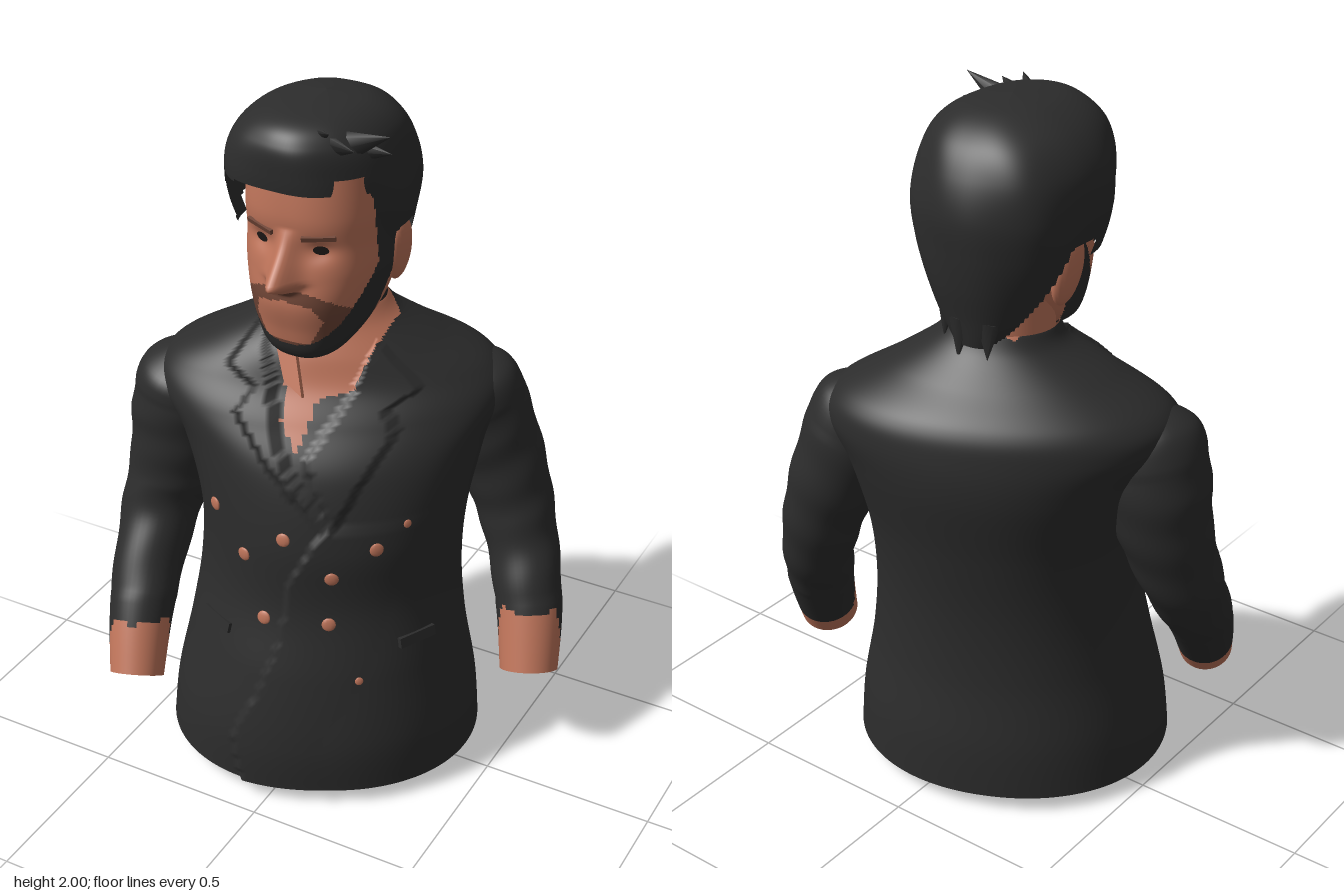
import * as THREE from 'three';

const mat = (name, color, side = THREE.DoubleSide) => {
  const m = new THREE.MeshStandardMaterial({ color, side });
  m.name = name;
  return m;
};

// Catmull-Rom blend of key rows, v in 0..1
function blend(rows, v) {
  const s = Math.min(v * (rows.length - 1), rows.length - 1.0001);
  const i = Math.floor(s), t = s - i;
  const r = (k) => rows[Math.max(0, Math.min(rows.length - 1, k))];
  return rows[0].map((_, c) => {
    const [a, b, d, e] = [r(i - 1)[c], r(i)[c], r(i + 1)[c], r(i + 2)[c]];
    return b + 0.5 * t * (d - a + t * (2 * a - 5 * b + 4 * d - e + t * (3 * (b - d) + e - a)));
  });
}

// Closed-loop surface; pick(x, y, z, v) returns a material index, or -1 to leave a hole
function loft(name, point, nu, nv, mats, pick) {
  const pos = [], sets = mats.map(() => []);
  for (let j = 0; j <= nv; j++)
    for (let i = 0; i < nu; i++) pos.push(...point((i / nu) * Math.PI * 2, j / nv));
  for (let j = 0; j < nv; j++)
    for (let i = 0; i < nu; i++) {
      const k = (i + 1) % nu, a = j * nu + i, b = j * nu + k, c = b + nu, d = a + nu;
      const mid = [0, 1, 2].map((n) => (pos[a * 3 + n] + pos[b * 3 + n] + pos[c * 3 + n] + pos[d * 3 + n]) / 4);
      const m = pick(...mid, (j + 0.5) / nv);
      if (m >= 0) sets[m].push(a, b, c, a, c, d);
    }
  const g = new THREE.BufferGeometry();
  g.setAttribute('position', new THREE.Float32BufferAttribute(pos, 3));
  g.setIndex(sets.flat());
  let start = 0;
  sets.forEach((s, m) => { g.addGroup(start, s.length, m); start += s.length; });
  g.computeVertexNormals();
  const mesh = new THREE.Mesh(g, mats);
  mesh.name = name;
  return mesh;
}

// Point on a rounded section: row = [y, centreX, centreZ, halfWidth, front, back]
function section(row, u, n, turn = 0) {
  const p = (k) => Math.sign(k) * Math.abs(k) ** (2 / n);
  const s = p(Math.sin(u)), c = p(Math.cos(u));
  const lx = row[3] * s, lz = (c > 0 ? row[4] : row[5]) * c;
  const C = Math.cos(turn), S = Math.sin(turn);
  return [row[1] + lx * C + lz * S, row[0], row[2] - lx * S + lz * C];
}

function inside(poly, x, y) {
  let hit = false;
  poly.forEach(([ax, ay], i) => {
    const [bx, by] = poly[(i + 1) % poly.length];
    if (ay > y !== by > y && x < ((bx - ax) * (y - ay)) / (by - ay) + ax) hit = !hit;
  });
  return hit;
}

// Seat a small part on the front of a surface at (x, y)
function seat(part, surface, x, y, lift = 0) {
  const p = surface.geometry.attributes.position, n = surface.geometry.attributes.normal;
  let best = 0, err = 9;
  for (let i = 0; i < p.count; i++) {
    const e = Math.hypot(p.getX(i) - x, p.getY(i) - y);
    if (n.getZ(i) > 0.05 && p.getZ(i) > 0 && e < err) { err = e; best = i; }
  }
  const normal = new THREE.Vector3().fromBufferAttribute(n, best);
  part.position.set(x, y, p.getZ(best)).addScaledVector(normal, lift);
  part.lookAt(part.position.clone().add(normal));
}

export function createModel() {
  const group = new THREE.Group();
  const dark = mat('charcoal', 0x2c2c2c), skin = mat('skin', 0xbe745a);
  const brown = mat('stubble', 0x6f4536), black = mat('eyeBlack', 0x1c1816);
  const add = (name, geo, m, x = 0, y = 0, z = 0) => {
    const mesh = new THREE.Mesh(geo, m);
    mesh.name = name;
    mesh.position.set(x, y, z);
    group.add(mesh);
    return mesh;
  };

  // Jacket body, hollow below, turned towards the model's left, with raised lapels and overlap
  const turn = 0.436;
  const body = [
    [0.05, -0.03, 0.015, 0.455, 0.4, 0.41], [0.2, -0.03, 0.01, 0.44, 0.405, 0.4],
    [0.4, -0.03, 0, 0.4, 0.375, 0.365], [0.6, -0.03, -0.02, 0.375, 0.34, 0.345],
    [0.8, -0.03, -0.04, 0.38, 0.35, 0.35], [1.0, -0.05, -0.08, 0.43, 0.345, 0.34],
    [1.12, -0.07, -0.1, 0.485, 0.29, 0.31], [1.2, -0.08, -0.11, 0.45, 0.24, 0.27],
    [1.28, -0.075, -0.1, 0.31, 0.195, 0.2], [1.35, -0.06, -0.09, 0.19, 0.145, 0.15],
    [1.4, -0.06, -0.08, 0.15, 0.12, 0.13]];
  const opening = [[-0.18, 1.42], [-0.09, 1.23], [-0.065, 1.13], [0, 1.06], [0.01, 1.18], [0.09, 1.2], [0.11, 1.28], [0.14, 1.42]];
  const lapels = [
    [[-0.19, 1.38], [-0.25, 1.24], [-0.16, 1.2], [-0.19, 1.14], [0.12, 0.86], [-0.07, 1.1]],
    [[0.11, 1.32], [0.24, 1.2], [0.18, 1.16], [0.22, 1.11], [0.13, 0.87], [0.03, 1.05], [0.09, 1.2]]];
  const edge = [[0.9, 0.12], [0.7, 0.02], [0.5, 0], [0.35, -0.04], [0.2, -0.11], [0, -0.07]];
  const edgeX = (y) => {
    const i = Math.max(1, edge.findIndex((e) => e[0] <= y)), [a, b] = [edge[i - 1], edge[i]];
    return a[1] + ((b[1] - a[1]) * (a[0] - y)) / (a[0] - b[0]);
  };
  const torso = loft('jacketBody', (u, v) => {
    const p = section(blend(body, v), u, 2.1, turn);
    if (p[2] > -0.1 && Math.cos(u) > -0.2) {
      if (lapels.some((l) => inside(l, p[0], p[1]))) p[2] += 0.016;
      const d = p[0] - edgeX(p[1]);
      if (p[1] < 0.88 && d > 0) p[2] += 0.014 * Math.max(0, 1 - d / 0.25);
    }
    return p;
  }, 200, 130, [dark, skin], (x, y, z) => (z > -0.02 - (y - 1.25) * 1.1 && inside(opening, x, y) ? 1 : 0));
  group.add(torso);

  // Buttons and the front pocket flaps
  [[-0.23, 0.86], [-0.12, 0.75], [0, 0.83], [0.23, 0.81], [0.135, 0.73], [0.285, 0.87],
    [-0.05, 0.57], [0.13, 0.58], [0.22, 0.41]].forEach(([x, y], i) => {
    const r = i > 7 || i === 5 ? 0.012 : 0.02;
    seat(add('button', new THREE.SphereGeometry(r, 10, 8).scale(1, 1, 0.3), skin), torso, x, y, 0.003);
  });
  [[-0.21, 0.5], [0.32, 0.5]].forEach(([x, y]) =>
    seat(add('pocketFlap', new THREE.BoxGeometry(0.12, 0.03, 0.014), dark), torso, x, y, 0.001));

  // Inner front band and the small tail under the hem
  const band = add('innerHem', new THREE.CylinderGeometry(1, 1, 0.085, 64, 1, true, -2.5, 4.4).scale(0.44, 1, 0.388), skin, -0.03, 0.087, 0.015);
  band.rotation.y = turn;
  const tail = add('shirtTail', new THREE.CylinderGeometry(0.33, 0.31, 0.06, 24, 1, true, -0.12, 0.82), dark, -0.03, 0.05, 0.02);
  tail.rotation.z = -0.08;

  // Sleeves cut at a slant over bare wrists: [x, y, z, radius] from shoulder down
  const arms = [
    { name: 'rightArm', top: 0.43, bare: (x, z) => z > 0.28 - 0.7 * (x + 0.38), rows: [
      [-0.42, 1.2, 0.05, 0.03], [-0.44, 1.13, 0.055, 0.135], [-0.47, 0.98, 0.055, 0.15], [-0.5, 0.8, 0.08, 0.128],
      [-0.525, 0.63, 0.14, 0.11], [-0.495, 0.43, 0.285, 0.094], [-0.455, 0.26, 0.39, 0.078]] },
    { name: 'leftArm', top: 0.48, bare: (x, z) => z > -0.14 - 0.4 * (x - 0.45), rows: [
      [0.25, 1.2, -0.24, 0.03], [0.27, 1.13, -0.265, 0.13], [0.32, 0.97, -0.3, 0.137], [0.385, 0.8, -0.315, 0.12],
      [0.445, 0.63, -0.295, 0.105], [0.512, 0.45, -0.22, 0.096], [0.55, 0.285, -0.15, 0.084]] }];
  for (const { name, top, bare, rows } of arms) {
    const n = 84;
    const curve = new THREE.CatmullRomCurve3(rows.map((r) => new THREE.Vector3(...r)));
    const centre = (v) => new THREE.Vector3(...blend(rows, v));
    const frames = curve.computeFrenetFrames(n);
    group.add(loft(name, (u, v) => {
      const k = Math.round(v * n);
      const fold = v > 0.25 && v < 0.82 ? 0.0022 * Math.sin(v * 45 + 2 * Math.sin(u)) : 0;
      const r = blend(rows, v)[3] + fold;
      return centre(v).addScaledVector(frames.normals[k], r * Math.cos(u))
        .addScaledVector(frames.binormals[k], r * Math.sin(u)).toArray();
    }, 40, n, [dark, skin], (x, y, z, v) => (v > 0.94 || (v > 0.78 && y < top && bare(x, z)) ? 1 : 0)));
    const end = add('wristEnd', new THREE.CircleGeometry(rows[6][3], 40), skin, ...rows[6].slice(0, 3));
    end.lookAt(end.position.clone().add(frames.tangents[n]));
  }

  // Neck and open shirt collar
  add('neck', new THREE.CylinderGeometry(0.125, 0.135, 0.42, 32), skin, -0.06, 1.35, -0.065);
  const wing = new THREE.Shape([[-0.07, 0.07], [0.01, 0.045], [0.06, -0.07], [-0.01, -0.04]].map((p) => new THREE.Vector2(...p)));
  const collar = add('shirtCollar', new THREE.ExtrudeGeometry(wing, { depth: 0.012, bevelEnabled: false }), skin, -0.07, 1.26, 0.13);
  collar.rotation.set(-0.4, -0.2, 0);

  // Face with sockets, nose, sideburns and a short beard
  const fx = -0.035;
  const faceRows = [
    [1.315, fx, 0.12, 0, 0, 0], [1.325, fx, 0.12, 0.06, 0.055, 0.06], [1.355, fx, 0.1, 0.11, 0.1, 0.1],
    [1.42, fx, 0.05, 0.15, 0.165, 0.16], [1.5, fx, 0, 0.175, 0.232, 0.15], [1.58, fx, 0, 0.19, 0.22, 0.16],
    [1.66, fx, 0, 0.193, 0.207, 0.2], [1.74, fx, 0, 0.195, 0.212, 0.2], [1.85, fx, 0, 0.19, 0.2, 0.2]];
  const clamp = THREE.MathUtils.clamp;
  const face = loft('face', (u, v) => {
    const p = section(blend(faceRows, v), u, 2.4), dx = p[0] - fx, y = p[1];
    if (p[2] > 0.1) {
      const t = clamp((1.71 - y) / 0.13, 0, 1) * clamp((y - 1.53) / 0.04, 0, 1);
      p[2] += 0.087 * t * Math.exp(-((dx / (0.02 + 0.018 * t)) ** 2));
      p[2] -= 0.014 * Math.exp(-(((Math.abs(dx) - 0.085) / 0.04) ** 2) - ((y - 1.655) / 0.028) ** 2);
    }
    return p;
  }, 180, 120, [skin, dark, brown], (x, y, z) => {
    const dx = x - fx;
    const beard = y < 1.6 ? z < 0.06 + (1.6 - y) * 0.66 : z < 0.06 + (y - 1.6) * 0.15;
    if (beard && z > -0.03 + Math.max(0, 1.55 - y) * 0.4) return 1;
    const mouth = inside([[-0.07, 1.385], [0.06, 1.385], [0.1, 1.46], [0.075, 1.505], [0, 1.515], [-0.08, 1.5], [-0.095, 1.45]], dx, y);
    const stubble = (dx / 0.165) ** 2 + ((y - 1.445) / 0.105) ** 2 < 1;
    return !mouth && z > 0.05 && stubble ? 2 : 0;
  });
  group.add(face);
  for (const s of [-1, 1]) {
    const x = fx + s * 0.085;
    seat(add('eye', new THREE.CircleGeometry(1, 20).scale(0.021, 0.013, 1), black), face, x, 1.658, 0.004);
    const brow = add('eyebrow', new THREE.BoxGeometry(0.09, 0.013, 0.009), brown);
    seat(brow, face, x, 1.695, 0.001);
    brow.rotateZ(s * 0.1);
    const ear = add('ear', new THREE.SphereGeometry(1, 20, 16).scale(0.028, 0.098, 0.055), skin, s > 0 ? 0.143 : -0.258, 1.58, -0.072);
    ear.rotation.set(0.15, 0, -s * 0.12);
  }

  // Hair shell, cut around face, ears and nape
  const hx = -0.07;
  const hairRows = [
    [1.38, hx, -0.08, 0.11, 0.1, 0.175], [1.45, hx, -0.08, 0.165, 0.15, 0.19], [1.55, hx, -0.07, 0.205, 0.2, 0.225],
    [1.65, hx, -0.06, 0.235, 0.25, 0.25], [1.75, hx, -0.05, 0.25, 0.265, 0.265], [1.85, hx, -0.04, 0.238, 0.265, 0.25],
    [1.93, -0.06, -0.035, 0.195, 0.25, 0.205], [1.98, -0.05, -0.03, 0.115, 0.18, 0.125], [2.0, -0.05, -0.03, 0, 0, 0]];
  group.add(loft('hair', (u, v) => {
    const row = blend(hairRows, v);
    const k = 1 + 0.014 * Math.sin(7 * u + 9 * v) * Math.sin(Math.PI * v);
    return section([row[0], row[1], row[2], ...row.slice(3).map((w) => Math.max(0, w * k))], u, 2.2);
  }, 120, 110, [dark], (x, y, z) => {
    const crown = y > 1.81 - 0.1 * Math.max(0, Math.abs(x - fx) - 0.12);
    const temple = y > (z > -0.02 ? 1.61 : 1.665) && z < 0.05 + 0.3 * Math.max(0, y - 1.66);
    return crown || temple || z < -0.13 - (1.62 - y) * 0.46 ? 0 : -1;
  }));

  // Loose flattened locks at the fringe and nape: start, direction, length
  [[[0.08, 1.92, 0.1], [1, 0.4, 0.1], 0.14], [[0.08, 1.9, 0.07], [1, 0.1, 0.1], 0.12],
    [[0.04, 1.92, 0.12], [0.8, 0.2, 0.5], 0.13], [[-0.02, 1.93, 0.1], [0.7, 0.35, 0.6], 0.13],
    [[-0.13, 1.46, -0.24], [0, -1, -0.05], 0.11], [[-0.05, 1.46, -0.25], [0.1, -1, 0], 0.13],
    [[0.02, 1.47, -0.22], [0.15, -1, 0.05], 0.11]].forEach(([p, d, len]) => {
    const lock = add('hairLock', new THREE.ConeGeometry(0.04, len, 8).translate(0, len / 2, 0).scale(1, 1, 0.6), dark, ...p);
    lock.quaternion.setFromUnitVectors(new THREE.Vector3(0, 1, 0), new THREE.Vector3(...d).normalize());
  });
  return group;
}
